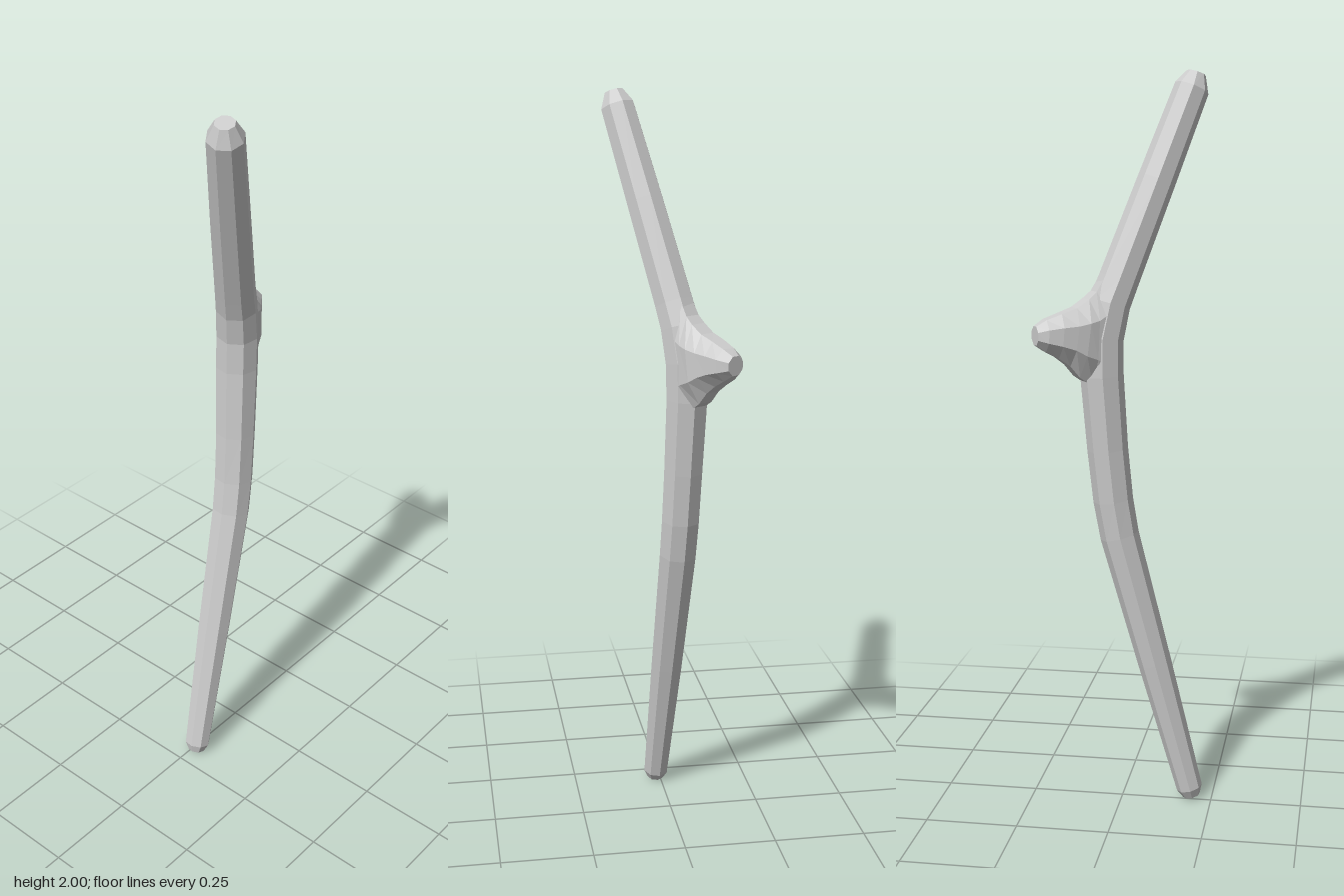
import * as THREE from 'three';

const SIDES = 8;
const across = new THREE.Vector3(0.56, 0, 0.83); // horizontal, square to the side stub

// Closed faceted limb through rings of [x, y, z, halfWidth, halfHeight]
function limb(name, rings, material) {
  const centres = rings.map(r => new THREE.Vector3(r[0], r[1], r[2]));
  const positions = [];
  const index = [];
  rings.forEach(([, , , w, h = w], i) => {
    const before = centres[Math.max(i - 1, 0)];
    const after = centres[Math.min(i + 1, rings.length - 1)];
    const t = after.clone().sub(before).normalize();
    const u = across.clone().addScaledVector(t, -across.dot(t)).normalize();
    const v = t.clone().cross(u);
    for (let k = 0; k < SIDES; k++) {
      const a = (k + 0.5) / SIDES * Math.PI * 2;
      const p = centres[i].clone()
        .addScaledVector(u, Math.cos(a) * w)
        .addScaledVector(v, Math.sin(a) * h);
      positions.push(p.x, p.y, p.z);
    }
  });
  // Side facets
  for (let i = 0; i < rings.length - 1; i++) {
    for (let k = 0; k < SIDES; k++) {
      const a = i * SIDES + k;
      const b = i * SIDES + (k + 1) % SIDES;
      index.push(a, b, b + SIDES, a, b + SIDES, a + SIDES);
    }
  }
  // End facets
  const last = (rings.length - 1) * SIDES;
  for (let k = 1; k < SIDES - 1; k++) {
    index.push(0, k + 1, k, last, last + k, last + k + 1);
  }
  const geometry = new THREE.BufferGeometry();
  geometry.setAttribute('position', new THREE.Float32BufferAttribute(positions, 3));
  geometry.setIndex(index);
  geometry.computeVertexNormals();
  const mesh = new THREE.Mesh(geometry, material);
  mesh.name = name;
  return mesh;
}

export function createModel() {
  const group = new THREE.Group();
  group.name = 'stick';
  const wood = new THREE.MeshStandardMaterial({ color: 0xcccccc, flatShading: true });

  // Long bent branch, bottom to top
  group.add(limb('mainBranch', [
    [-0.194, 0.006, 0.014, 0.024],
    [-0.188, 0.03, 0.013, 0.036],
    [-0.09, 0.4, -0.004, 0.046],
    [0.005, 0.76, -0.02, 0.053],
    [0.022, 0.86, -0.024, 0.054],
    [0.036, 1.0, -0.029, 0.055],
    [0.05, 1.2, -0.036, 0.058],
    [0.05, 1.3, -0.034, 0.058],
    [0.032, 1.39, -0.022, 0.056],
    [0.01, 1.45, -0.008, 0.054],
    [-0.082, 1.71, 0.055, 0.051],
    [-0.167, 1.95, 0.114, 0.047],
    [-0.178, 1.989, 0.122, 0.026],
  ], wood));

  // Short side stub, flared tall where it joins the branch
  group.add(limb('sideStub', [
    [0.05, 1.3, -0.034, 0.054, 0.175],
    [0.075, 1.3, -0.05, 0.056, 0.135],
    [0.1, 1.303, -0.066, 0.06, 0.112],
    [0.125, 1.308, -0.083, 0.057, 0.083],
    [0.155, 1.312, -0.102, 0.053, 0.063],
    [0.188, 1.314, -0.119, 0.046, 0.045],
    [0.21, 1.314, -0.133, 0.027, 0.027],
  ], wood));

  return group;
}
